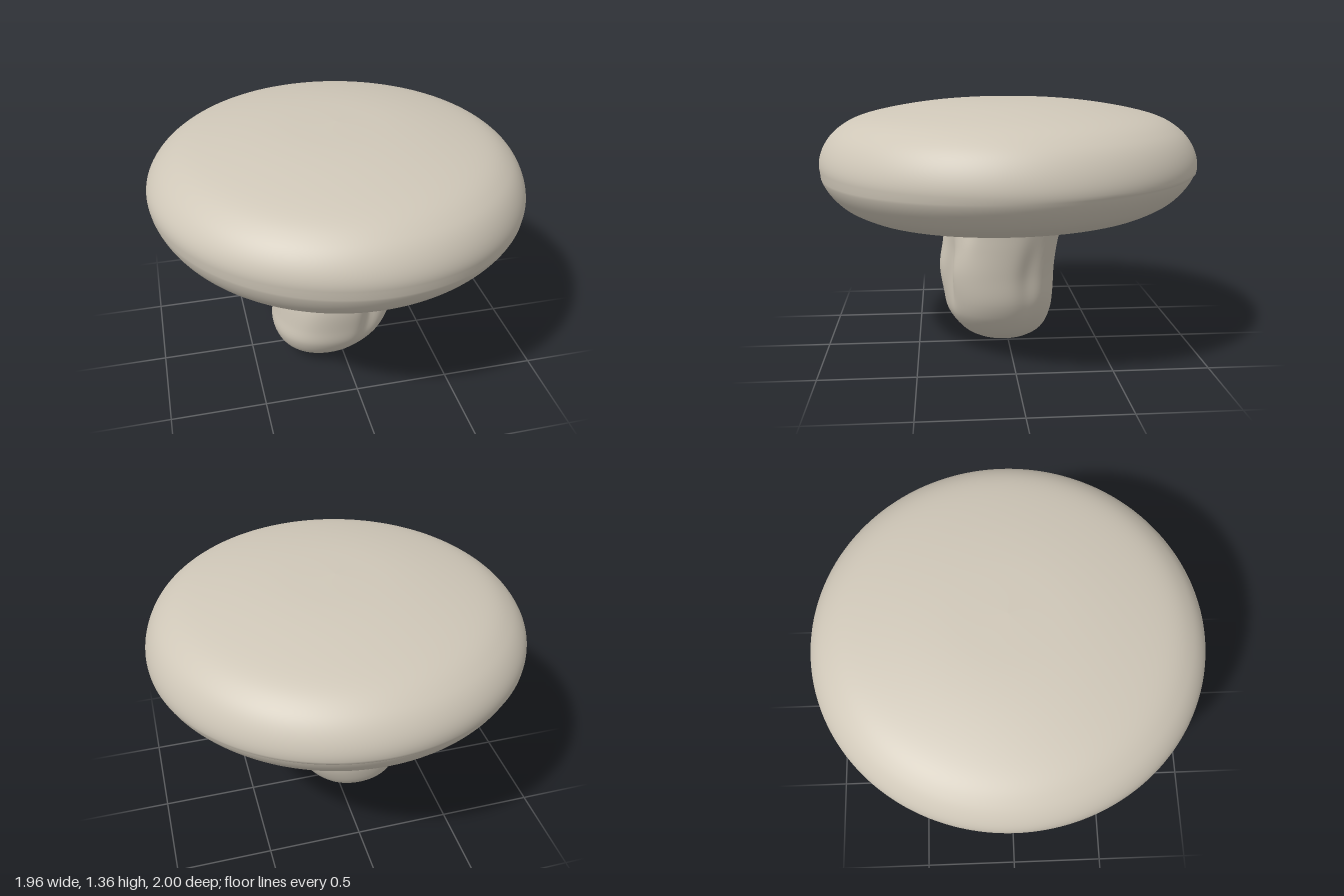
import * as THREE from 'three';

// Closed surface of revolution-like rings: point(t, angle) -> [x, y, z], t from 0 to 1
function ringSurface(rows, segs, point) {
  const pos = [], idx = [];
  for (let i = 0; i <= rows; i++) {
    for (let j = 0; j < segs; j++) pos.push(...point(i / rows, (j / segs) * Math.PI * 2));
  }
  for (let i = 0; i < rows; i++) {
    for (let j = 0; j < segs; j++) {
      const a = i * segs + j, b = i * segs + (j + 1) % segs, c = a + segs, d = b + segs;
      idx.push(a, c, b, b, c, d);
    }
  }
  const g = new THREE.BufferGeometry();
  g.setAttribute('position', new THREE.Float32BufferAttribute(pos, 3));
  g.setIndex(idx);
  g.computeVertexNormals();
  return g;
}

const bump = (v, centre, width) => Math.exp(-(((v - centre) / width) ** 2));
const angleGap = (a, b) => Math.atan2(Math.sin(a - b), Math.cos(a - b));

// Cap: hollow underside, rolled rim, wide shallow dome
function capGeometry() {
  const profile = new THREE.SplineCurve([
    [0.001, 0.95], [0.2, 0.95], [0.36, 0.94], [0.5, 0.9], [0.6, 0.84], [0.655, 0.79],
    [0.71, 0.77], [0.78, 0.787], [0.88, 0.845], [0.955, 0.935], [0.985, 1.03],
    [0.96, 1.125], [0.89, 1.21], [0.77, 1.275], [0.55, 1.325], [0.3, 1.355], [0.001, 1.365],
  ].map(([x, y]) => new THREE.Vector2(x, y)));
  return ringSurface(112, 240, (t, a) => {
    const p = profile.getPoint(t);
    const x = p.x * Math.cos(a) * 0.995, z = p.x * Math.sin(a) * 1.015;
    let y = p.y;
    // Radial gills inside the hollow
    if (t < 0.36) y += 0.02 * bump(p.x, 0.47, 0.13) * Math.cos(36 * a + 1.5 * Math.sin(3 * a));
    // Slightly lower lip toward the front, slightly lower rim toward +x
    if (p.y < 1.0) y -= 0.02 * z * THREE.MathUtils.smoothstep(p.x, 0.4, 0.7);
    y -= 0.02 * x * bump(p.y, 1.03, 0.12) * THREE.MathUtils.smoothstep(p.x, 0.7, 0.95);
    return [x, y, z];
  });
}

// Stem: sections of [y, minX, maxX, minZ, maxZ], leaning toward -x at the foot
function stemGeometry() {
  const sections = [
    [0.003, -0.081, -0.079, 0.019, 0.021], [0.008, -0.15, -0.01, -0.05, 0.09],
    [0.035, -0.24, 0.06, -0.14, 0.19], [0.1, -0.345, 0.16, -0.215, 0.28],
    [0.2, -0.385, 0.245, -0.25, 0.345], [0.3, -0.372, 0.29, -0.26, 0.365],
    [0.45, -0.348, 0.315, -0.268, 0.385], [0.6, -0.333, 0.335, -0.29, 0.365],
    [0.72, -0.325, 0.35, -0.318, 0.358], [0.82, -0.34, 0.375, -0.33, 0.37],
    [0.95, -0.42, 0.44, -0.4, 0.43],
  ];
  const lows = new THREE.CatmullRomCurve3(sections.map(s => new THREE.Vector3(s[1], s[0], s[3])));
  const highs = new THREE.CatmullRomCurve3(sections.map(s => new THREE.Vector3(s[2], s[0], s[4])));
  // Folds: [angle in degrees, angular width, height, vertical reach, depth]
  const folds = [
    [62, 0.16, 0.46, 0.2, 0.14], [40, 0.14, 0.75, 0.12, 0.07], [-27, 0.18, 0.45, 0.2, 0.05],
    [135, 0.22, 0.6, 0.2, 0.06], [215, 0.2, 0.55, 0.25, 0.05], [285, 0.2, 0.6, 0.25, 0.06],
  ];
  return ringSurface(60, 120, (t, a) => {
    const lo = lows.getPoint(t), hi = highs.getPoint(t);
    let k = 1 + 0.02 * Math.cos(4 * a + Math.PI);
    for (const [deg, w, y, reach, depth] of folds) {
      k -= depth * bump(angleGap(a, THREE.MathUtils.degToRad(deg)), 0, w) * bump(lo.y, y, reach);
    }
    // Fine ribs where the stem meets the gills
    k += 0.03 * THREE.MathUtils.smoothstep(lo.y, 0.7, 0.9) * Math.cos(18 * a);
    return [
      (lo.x + hi.x) / 2 + ((hi.x - lo.x) / 2) * k * Math.cos(a),
      lo.y,
      (lo.z + hi.z) / 2 + ((hi.z - lo.z) / 2) * k * Math.sin(a),
    ];
  });
}

export function createModel() {
  const flesh = new THREE.MeshStandardMaterial({ color: 0xcfc7b8 });
  flesh.name = 'mushroom beige';
  const group = new THREE.Group();
  group.name = 'mushroom';
  for (const [name, geometry] of [['cap', capGeometry()], ['stem', stemGeometry()]]) {
    const mesh = new THREE.Mesh(geometry, flesh);
    mesh.name = name;
    group.add(mesh);
  }
  return group;
}
